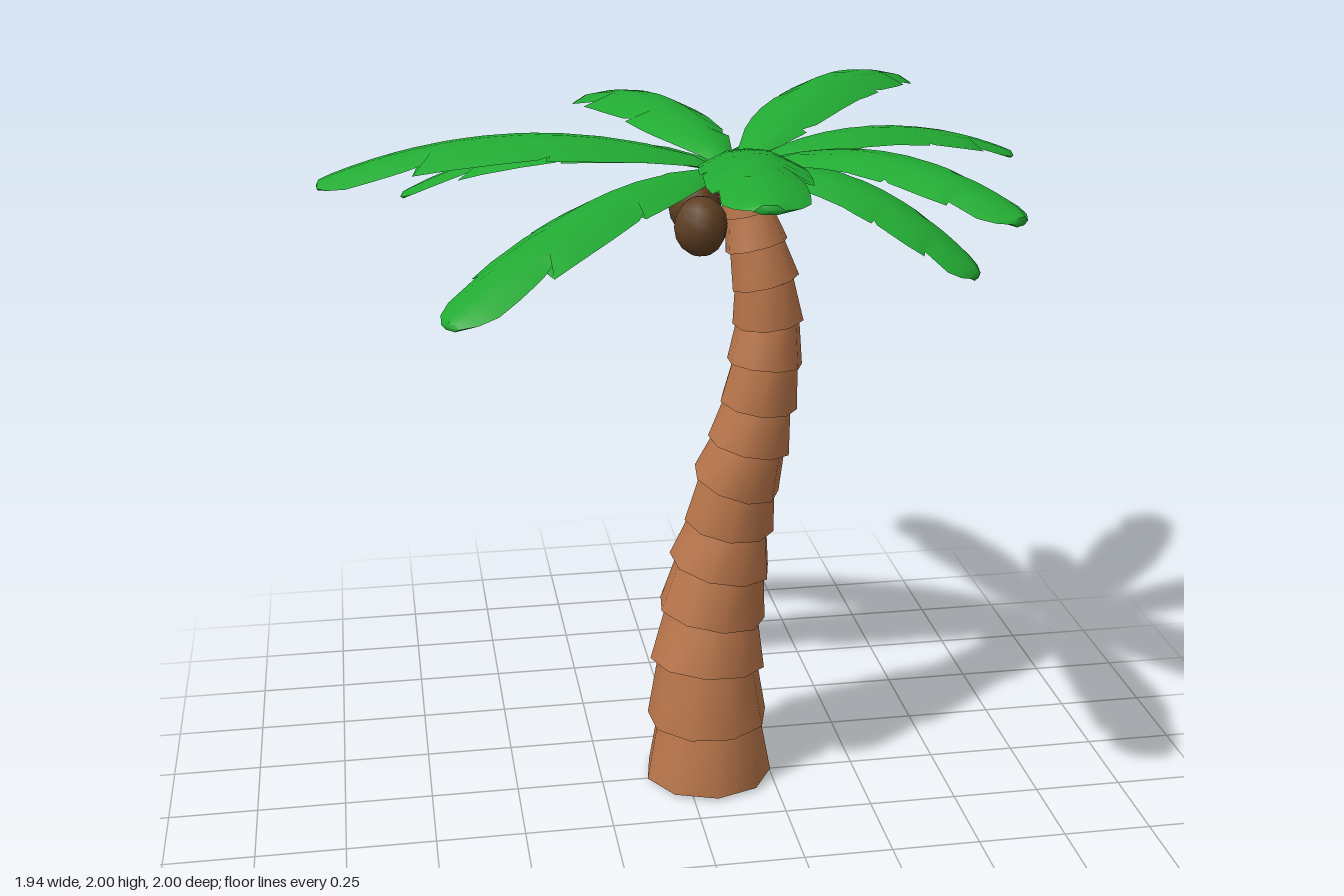
import * as THREE from 'three';
import { toCreasedNormals } from 'three/addons/utils/BufferGeometryUtils.js';

const BARK = new THREE.MeshStandardMaterial({ color: 0xb8754a });
const LEAF = new THREE.MeshStandardMaterial({ color: 0x22aa33, side: THREE.DoubleSide });
const NUT = new THREE.MeshStandardMaterial({ color: 0x5e3f22 });

// Trunk rings: x, y, z, radius at the flared bottom of each section
const RINGS = [
  [0.067, 0, -0.02, 0.187], [0.067, 0.18, -0.025, 0.177], [0.067, 0.36, -0.027, 0.168],
  [0.08, 0.51, -0.04, 0.157], [0.105, 0.66, -0.04, 0.148], [0.128, 0.79, -0.03, 0.13],
  [0.145, 0.92, -0.015, 0.126], [0.178, 1.04, 0.005, 0.118], [0.2, 1.16, 0.012, 0.109],
  [0.215, 1.28, 0.02, 0.105], [0.225, 1.4, 0.015, 0.099], [0.213, 1.51, 0.02, 0.094],
  [0.19, 1.61, 0.012, 0.087], [0.17, 1.7, 0, 0.073], [0.145, 1.81, -0.01, 0.055],
];

// Frond outline with notches: midrib t, left edge t and half width, right edge t and half width
const OUTLINE = [
  [0, 0, 0, 0, 0], [0.08, 0.08, 0.045, 0.08, 0.045], [0.18, 0.2, 0.09, 0.22, 0.1],
  [0.24, 0.28, 0.11, 0.2, 0.07], [0.32, 0.35, 0.12, 0.27, 0.105], [0.4, 0.44, 0.125, 0.4, 0.12],
  [0.46, 0.4, 0.085, 0.5, 0.125], [0.5, 0.46, 0.12, 0.55, 0.13], [0.58, 0.56, 0.13, 0.62, 0.13],
  [0.66, 0.68, 0.13, 0.57, 0.08], [0.7, 0.76, 0.125, 0.64, 0.125], [0.76, 0.7, 0.075, 0.76, 0.125],
  [0.8, 0.77, 0.1, 0.83, 0.115], [0.83, 0.81, 0.104, 0.76, 0.07], [0.87, 0.86, 0.105, 0.83, 0.1],
  [0.92, 0.92, 0.1, 0.92, 0.1], [0.965, 0.965, 0.075, 0.965, 0.075],
  [0.995, 0.995, 0.035, 0.995, 0.035], [1, 1, 0, 1, 0],
];

// Fronds: tip x, tip z, height halfway, height at tip, width scale
const FRONDS = [
  [-0.13, -1.0, 1.9, 1.825, 0.98], [-0.73, -0.56, 1.83, 1.65, 0.9], [-0.97, -0.11, 1.905, 1.79, 1.02],
  [-0.67, 0.63, 1.8, 1.61, 0.9], [0.02, 1.0, 1.97, 1.955, 1], [0.69, 0.72, 1.92, 1.83, 0.85],
  [0.7, 0.37, 1.8, 1.6, 0.92], [0.77, 0.09, 1.76, 1.53, 0.75], [0.965, -0.23, 1.88, 1.78, 0.78],
  [0.78, -0.83, 1.95, 1.89, 0.95], [0.45, -0.72, 1.79, 1.62, 0.75],
];
const CROWN = new THREE.Vector3(0.13, 0, -0.01);
const BASE_Y = 1.81;

function createFrondGeometry(length, midY, tipY, width) {
  const pos = [], idx = [];
  const a = 4 * (midY - BASE_Y) - (tipY - BASE_Y);
  const b = tipY - BASE_Y - a;
  for (const [m, lt, lw, rt, rw] of OUTLINE) {
    const thick = Math.min(0.011, (lw + rw) * 0.15);
    // Closed section: left edge, over the top, right edge, back underneath
    for (const [s, side] of [[-1, 0], [-0.5, 1], [0, 1], [0.5, 1], [1, 0], [0.5, -1], [0, -1], [-0.5, -1]]) {
      const [edgeT, w] = s < 0 ? [lt, lw * width] : [rt, rw * width];
      const t = m + (edgeT - m) * s * s;
      const z = Math.abs(s) === 0.5 ? Math.sign(s) * Math.min(0.05, w * 0.5) : s * w;
      const droop = 2 * z * z;
      pos.push(0.02 + t * (length - 0.02), BASE_Y + a * t + b * t * t - droop + side * thick, z);
    }
  }
  for (let i = 0; i < OUTLINE.length - 1; i++) {
    for (let j = 0; j < 8; j++) {
      const p = i * 8 + j, q = i * 8 + (j + 1) % 8;
      idx.push(p, q, p + 8, q, q + 8, p + 8);
    }
  }
  const geo = new THREE.BufferGeometry();
  geo.setAttribute('position', new THREE.Float32BufferAttribute(pos, 3));
  geo.setIndex(idx);
  return toCreasedNormals(geo, 0.7);
}

function createTrunk() {
  const trunk = new THREE.Group();
  trunk.name = 'trunk';
  const up = new THREE.Vector3(0, 1, 0);
  for (let i = 0; i < RINGS.length - 1; i++) {
    const from = new THREE.Vector3(...RINGS[i]);
    const to = new THREE.Vector3(...RINGS[i + 1]);
    const axis = to.clone().sub(from);
    const len = axis.length() + 0.01;
    const geo = new THREE.CylinderGeometry(RINGS[i + 1][3] * 0.86, RINGS[i][3], len, 9);
    geo.translate(0, len / 2, 0);
    const section = new THREE.Mesh(toCreasedNormals(geo, 0.8), BARK);
    section.name = 'trunkSection';
    section.position.copy(from);
    section.quaternion.setFromUnitVectors(up, axis.normalize());
    section.rotateY(i * 0.25);
    trunk.add(section);
  }
  return trunk;
}

export function createModel() {
  const palm = new THREE.Group();
  palm.name = 'palmTree';
  palm.add(createTrunk());

  // Crown of fronds
  const crown = new THREE.Group();
  crown.name = 'crown';
  for (const [x, z, midY, tipY, width] of FRONDS) {
    const dx = x - CROWN.x, dz = z - CROWN.z;
    const frond = new THREE.Mesh(createFrondGeometry(Math.hypot(dx, dz), midY, tipY, width), LEAF);
    frond.name = 'frond';
    frond.position.copy(CROWN);
    frond.rotation.y = Math.atan2(-dz, dx);
    crown.add(frond);
  }
  palm.add(crown);

  // Coconuts hanging beside the trunk top
  for (const [x, y, z] of [[0.045, 1.69, -0.13], [0.037, 1.67, 0.015]]) {
    const nut = new THREE.Mesh(new THREE.SphereGeometry(0.073, 10, 8), NUT);
    nut.name = 'coconut';
    nut.position.set(x, y, z);
    nut.scale.y = 1.12;
    palm.add(nut);
  }
  return palm;
}
